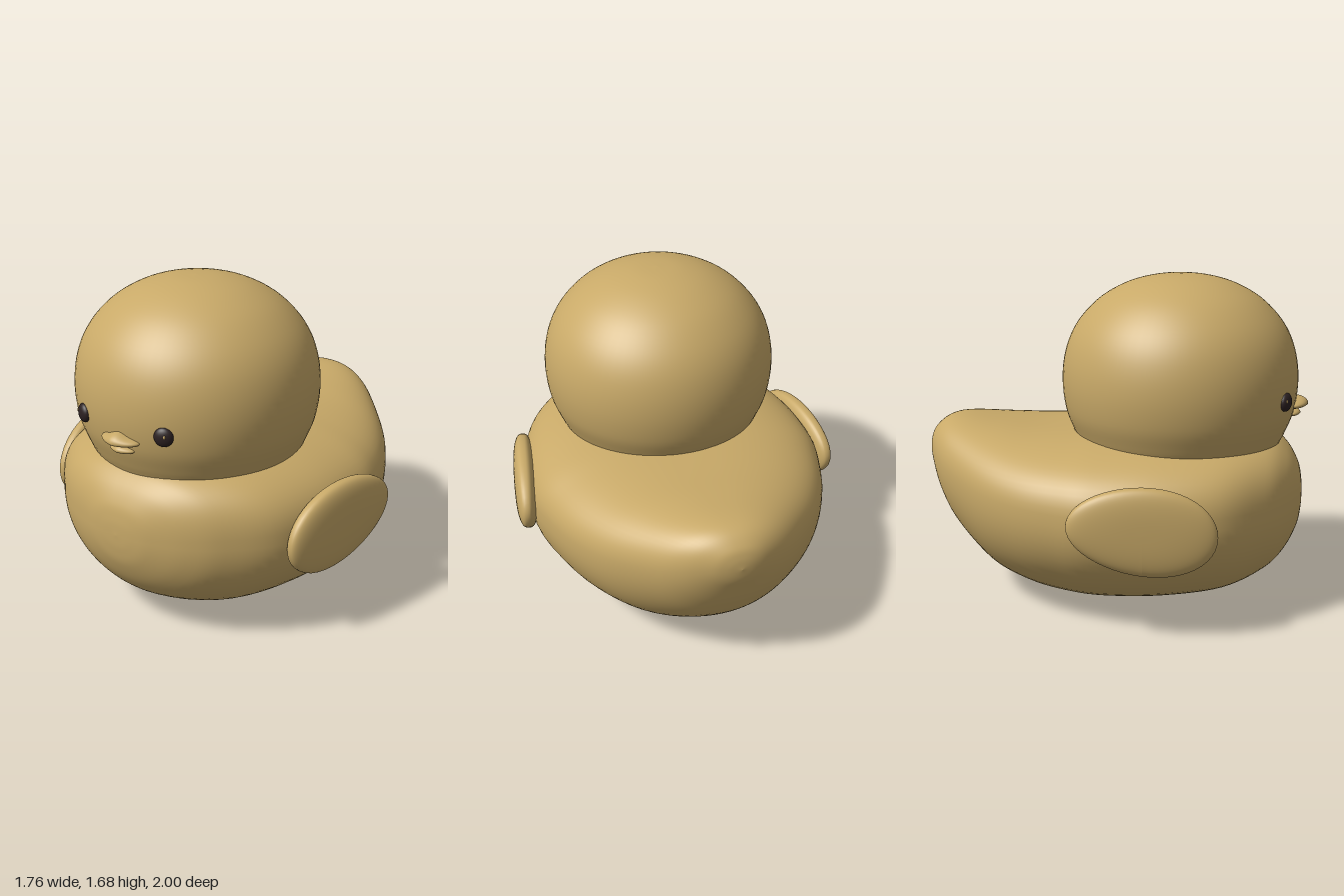
import * as THREE from 'three';

const tan = new THREE.MeshStandardMaterial({ color: 0xc8a968 });
tan.name = 'tan';
const dark = new THREE.MeshStandardMaterial({ color: 0x2c2122 });
dark.name = 'darkBrown';

function add(parent, name, geometry, material) {
  const mesh = new THREE.Mesh(geometry, material);
  mesh.name = name;
  parent.add(mesh);
  return mesh;
}

// Move every vertex of a geometry by a rule
function reshape(geometry, rule) {
  const p = geometry.attributes.position;
  const v = new THREE.Vector3();
  for (let i = 0; i < p.count; i++) {
    v.fromBufferAttribute(p, i);
    rule(v);
    p.setXYZ(i, v.x, v.y, v.z);
  }
  geometry.computeVertexNormals();
  return geometry;
}

const spow = (c, e) => Math.sign(c) * Math.pow(Math.abs(c), e);

// Body: rounded cross-sections lofted from the breast to the upturned tail
function bodyGeometry() {
  // z, half width, bottom, widest height, top
  const rows = [
    [0.985, 0, 0.55, 0.55, 0.55], [0.98, 0.1, 0.47, 0.55, 0.63],
    [0.96, 0.2, 0.38, 0.55, 0.71], [0.9, 0.36, 0.265, 0.55, 0.8],
    [0.8, 0.51, 0.165, 0.55, 0.865], [0.6, 0.69, 0.07, 0.55, 0.9],
    [0.3, 0.785, 0.02, 0.55, 0.91], [0, 0.8, 0.002, 0.55, 0.9],
    [-0.2, 0.755, 0.01, 0.555, 0.89], [-0.4, 0.68, 0.045, 0.57, 0.89],
    [-0.6, 0.56, 0.125, 0.6, 0.905], [-0.8, 0.385, 0.3, 0.66, 0.922],
    [-0.9, 0.27, 0.455, 0.7, 0.908], [-0.965, 0.15, 0.61, 0.74, 0.86],
    [-0.99, 0.075, 0.68, 0.75, 0.81], [-1, 0, 0.75, 0.75, 0.75],
  ];
  const curve = (f) => new THREE.CatmullRomCurve3(rows.map(f), false, 'catmullrom', 0.5);
  const outline = curve((r) => new THREE.Vector3(r[1], r[2], r[0]));
  const heights = curve((r) => new THREE.Vector3(0, r[3], r[4]));
  const along = 90, around = 72;
  const position = [], index = [];
  for (let j = 0; j <= along; j++) {
    const a = outline.getPoint(j / along);
    const b = heights.getPoint(j / along);
    const n = 2.7 - 0.5 * THREE.MathUtils.smoothstep(-a.z, 0.1, 0.9);
    for (let i = 0; i < around; i++) {
      const t = (i / around) * Math.PI * 2;
      const c = Math.cos(t), s = Math.sin(t);
      const e = s > 0 ? 2 / n : 1;
      const h = s > 0 ? b.z - b.y : b.y - a.y;
      position.push(Math.max(a.x, 0) * spow(c, e), b.y + h * spow(s, e), a.z);
      if (j < along) {
        const i2 = (i + 1) % around, p = j * around, q = p + around;
        index.push(p + i, q + i, p + i2, p + i2, q + i, q + i2);
      }
    }
  }
  const g = new THREE.BufferGeometry();
  g.setAttribute('position', new THREE.Float32BufferAttribute(position, 3));
  g.setIndex(index);
  g.computeVertexNormals();
  return g;
}

// Head: a wide dome narrowing to the neck
function headGeometry() {
  const profile = [
    [0.5, 0.78], [0.53, 0.84], [0.553, 0.89], [0.59, 0.99], [0.608, 1.12], [0.6, 1.25],
    [0.565, 1.37], [0.5, 1.475], [0.4, 1.57], [0.27, 1.64], [0.13, 1.677], [0, 1.685],
  ].map(([r, y]) => new THREE.Vector2(r, y));
  const points = new THREE.SplineCurve(profile).getPoints(50);
  points.forEach((p) => { p.x = Math.max(p.x, 0); });
  return new THREE.LatheGeometry(points, 72);
}

// Wing: a flat egg-shaped pad with a rounded rim, narrower at the back
function wingGeometry() {
  return reshape(new THREE.SphereGeometry(1, 48, 32).rotateZ(Math.PI / 2), (v) => {
    const r = Math.hypot(v.y, v.z);
    const k = r > 1e-6 ? Math.pow(r, 0.75) / r : 1;
    const y = v.y * k, z = v.z * k;
    v.set(0.062 * spow(v.x, 0.75), 0.215 * y * (1 + 0.1 * z) - 0.028 * z, 0.357 * z);
  });
}

// Bill half: a flat lip, pointed in front, with an optional central hump
function billGeometry(w, h, d, hump) {
  return reshape(new THREE.SphereGeometry(1, 40, 24), (v) => {
    const rise = v.y > 0 ? 1 + hump * Math.exp(-Math.pow(v.x / 0.4, 2)) : 1;
    v.set(w * v.x, h * v.y * rise, d * v.z * (1 - 0.25 * Math.abs(v.x)));
  });
}

export function createModel() {
  const model = new THREE.Group();
  model.name = 'duck';

  add(model, 'body', bodyGeometry(), tan);
  add(model, 'head', headGeometry(), tan).position.set(0, 0, 0.337);

  for (const side of [1, -1]) {
    const wing = add(model, side > 0 ? 'leftWing' : 'rightWing', wingGeometry(), tan);
    wing.position.set(side * 0.788, 0.558, 0.245);
    wing.rotation.y = -side * 0.16;
  }

  // Eyes: flattened discs set into the face, each with a tiny glint
  for (const [name, x, glintX] of [['leftEye', 0.238, 0.01], ['rightEye', -0.257, -0.028]]) {
    const eye = new THREE.Group();
    eye.name = name;
    eye.position.set(x, 1.086, 0.337 + Math.sqrt(0.606 ** 2 - x * x));
    eye.rotation.y = Math.asin(x / 0.606);
    add(eye, 'pupil', new THREE.SphereGeometry(1, 28, 18).scale(0.047, 0.047, 0.026), dark);
    const glint = add(eye, 'glint', new THREE.SphereGeometry(1, 12, 8).scale(0.006, 0.009, 0.004), tan);
    glint.position.set(glintX, 0.009, 0.026 * Math.sqrt(1 - (glintX / 0.047) ** 2 - 0.037));
    model.add(eye);
  }

  add(model, 'upperBill', billGeometry(0.11, 0.024, 0.075, 0.8), tan).position.set(0.008, 1.03, 0.925);
  const lower = add(model, 'lowerBill', billGeometry(0.073, 0.018, 0.045, 0.3), tan);
  lower.position.set(0.008, 0.981, 0.918);

  return model;
}
